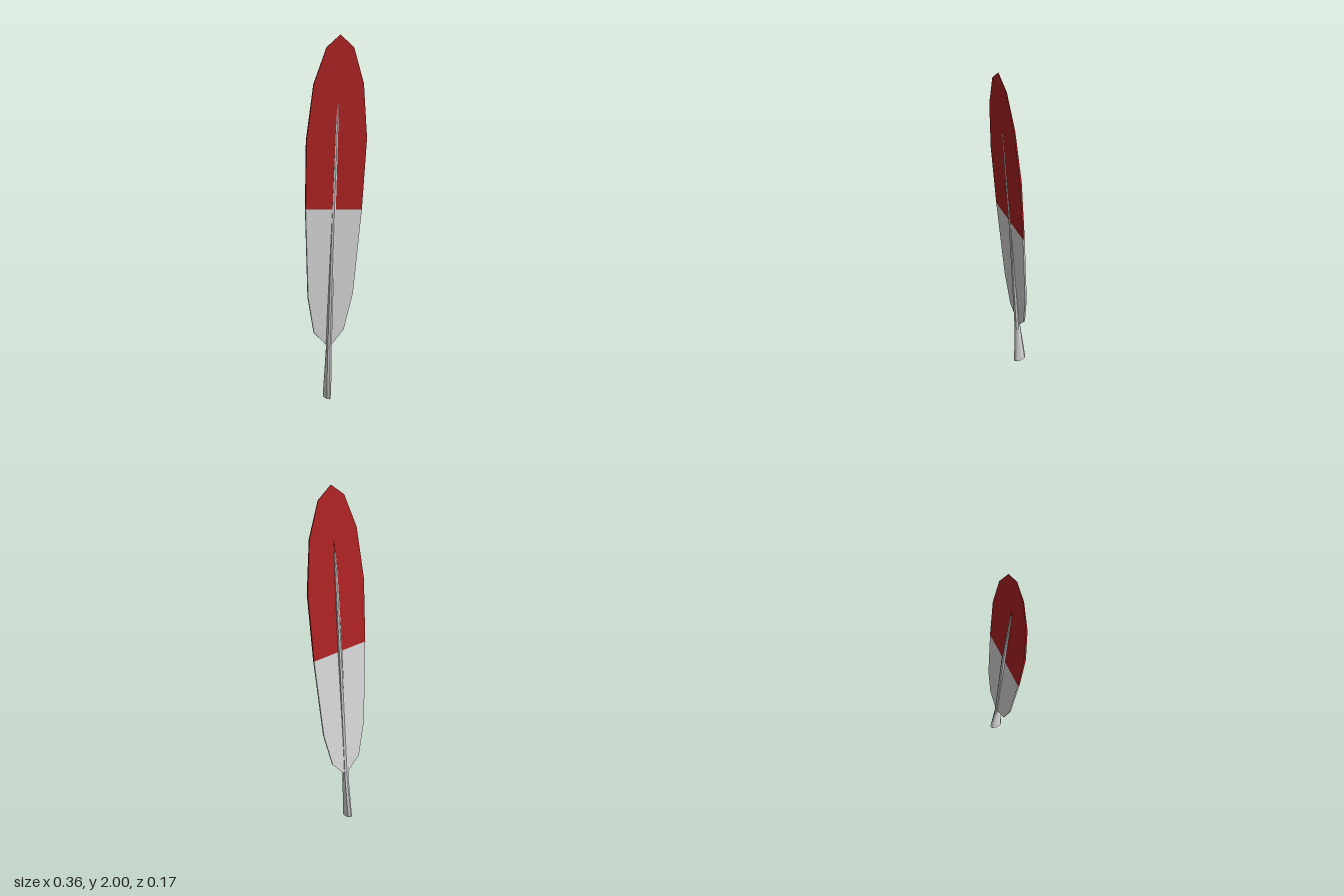
import * as THREE from 'three';

// Skin a stack of equal-length rings (ordered from +x towards +z, bottom to top) and cap both ends
function loft(rings) {
  const n = rings[0].length;
  const top = (rings.length - 1) * n;
  const index = [];
  for (let i = 0; i < rings.length - 1; i++) {
    for (let j = 0; j < n; j++) {
      const a = i * n + j, b = i * n + (j + 1) % n;
      index.push(a, a + n, b, b, a + n, b + n);
    }
  }
  for (let j = 1; j < n - 1; j++) {
    index.push(0, j, j + 1, top, top + j + 1, top + j);
  }
  const indexed = new THREE.BufferGeometry();
  indexed.setAttribute('position', new THREE.Float32BufferAttribute(rings.flat(2), 3));
  indexed.setIndex(index);
  const geometry = indexed.toNonIndexed();
  geometry.computeVertexNormals();
  return geometry;
}

// The vane leans forward as it rises
const leanZ = (y) => -0.035 + (y - 0.3) * 0.0706;

// Thin slab section of the vane; the cut may slope from left to right
function vaneRing([yl, xl, yr, xr, thick]) {
  const h = thick / 2;
  const zl = leanZ(yl), zr = leanZ(yr);
  return [[xr, yr, zr - h], [xr, yr, zr + h], [xl, yl, zl + h], [xl, yl, zl - h]];
}

// Eight-sided oval section of the quill
function quillRing([y, x, z, rx, rz, tilt = 0]) {
  return Array.from({ length: 8 }, (_, j) => {
    const a = (j / 8) * Math.PI * 2;
    return [x + rx * Math.cos(a), y + tilt * (1 - Math.sin(a)) / 2, z + rz * Math.sin(a)];
  });
}

export function createModel() {
  const group = new THREE.Group();
  const white = new THREE.MeshStandardMaterial({ name: 'white', color: 0xdedede });
  const red = new THREE.MeshStandardMaterial({ name: 'red', color: 0xb32424 });

  const add = (name, rings, material) => {
    const mesh = new THREE.Mesh(loft(rings), material);
    mesh.name = name;
    group.add(mesh);
  };

  // Vane sections: left y, left x, right y, right x, thickness
  const split = [1.08, -0.175, 1.06, 0.161, 0.01];
  const lower = [
    [0.3, -0.022, 0.3, 0.0, 0.004],
    [0.385, -0.105, 0.385, 0.075, 0.008],
    [0.59, -0.147, 0.59, 0.124, 0.01],
    split,
  ];
  const upper = [
    split,
    [1.45, -0.18, 1.45, 0.177, 0.01],
    [1.745, -0.146, 1.745, 0.147, 0.007],
    [1.935, -0.077, 1.935, 0.083, 0.004],
    [2.0, -0.001, 2.0, 0.003, 0.001],
  ];
  add('lowerVane', lower.map(vaneRing), white);
  add('upperVane', upper.map(vaneRing), red);

  // Quill sections: y, centre x, centre z, half width, half depth, base tilt
  const neck = [1.64, -0.002, 0.058, 0.006, 0.007];
  const quill = [
    [0, -0.018, -0.046, 0.019, 0.037, 0.01],
    [0.27, -0.015, -0.029, 0.017, 0.018],
    [1.05, -0.007, 0.014, 0.014, 0.014],
    [1.5, -0.004, 0.048, 0.01, 0.01],
    neck,
  ];
  const tip = [neck, [1.75, 0, 0.067, 0.001, 0.001]];
  add('quill', quill.map(quillRing), white);
  add('quillTip', tip.map(quillRing), red);

  return group;
}
